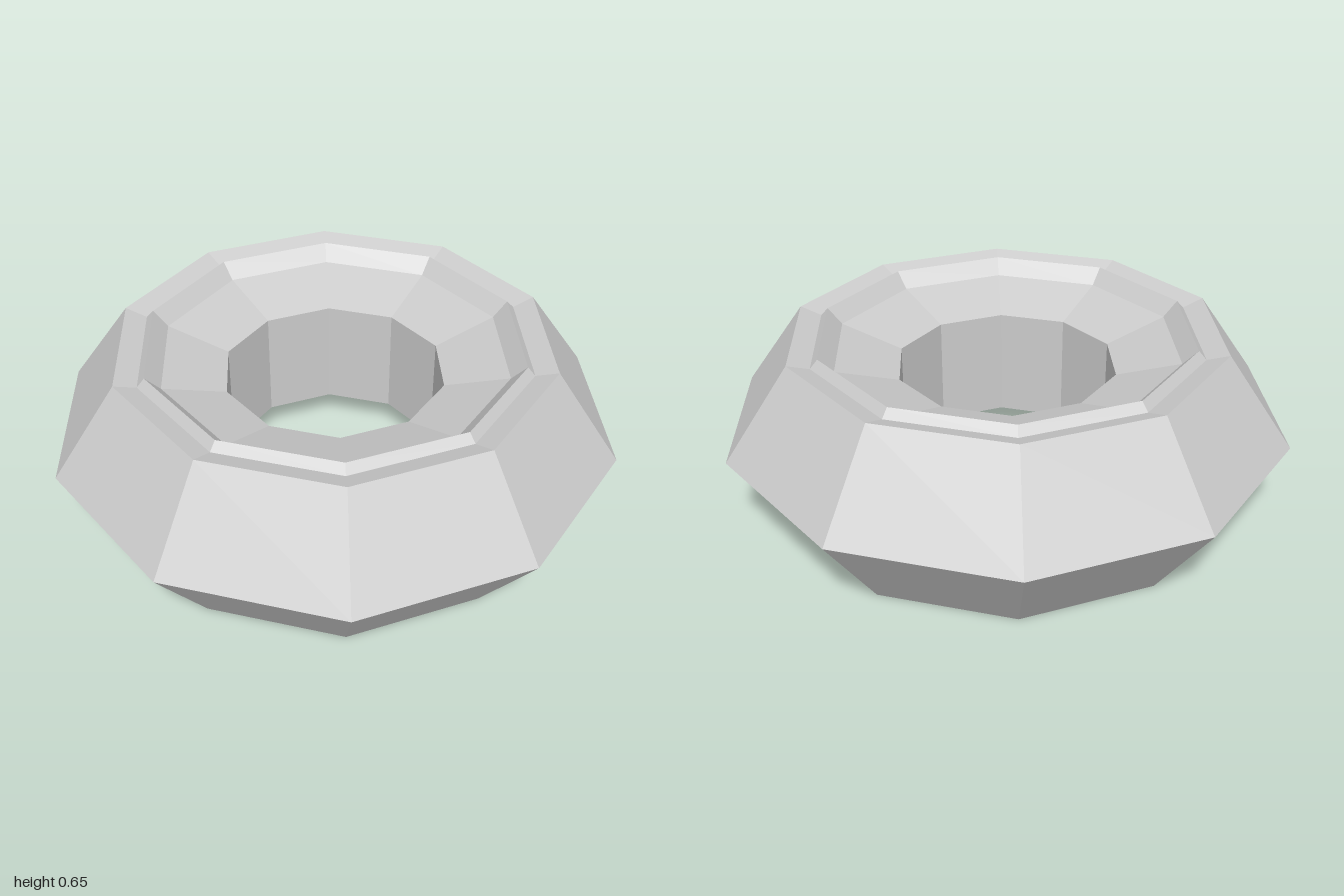
import * as THREE from 'three';

const SIDES = 10;

// Ten-sided ring turned from a [radius, height] profile, one corner on the x axis
function ring(name, profile, material) {
  const points = profile.map(([r, y]) => new THREE.Vector2(r, y));
  const geometry = new THREE.LatheGeometry(points, SIDES, Math.PI / 2);
  const mesh = new THREE.Mesh(geometry, material);
  mesh.name = name;
  return mesh;
}

export function createModel() {
  const grey = new THREE.MeshStandardMaterial({ color: 0xcccccc, flatShading: true });
  grey.name = 'light grey';

  const group = new THREE.Group();
  group.name = 'facetedRing';

  // Body: sloped underside, pointed outer rim, dished top and upright hole wall
  group.add(ring('ringBody', [
    [0.39, 0.12], [0.77, 0], [1, 0.322], [0.77, 0.643], [0.39, 0.522], [0.39, 0.12],
  ], grey));

  // Narrow raised bead on the dished top
  group.add(ring('raisedBead', [
    [0.692, 0.618], [0.665, 0.648], [0.612, 0.592],
  ], grey));

  return group;
}
